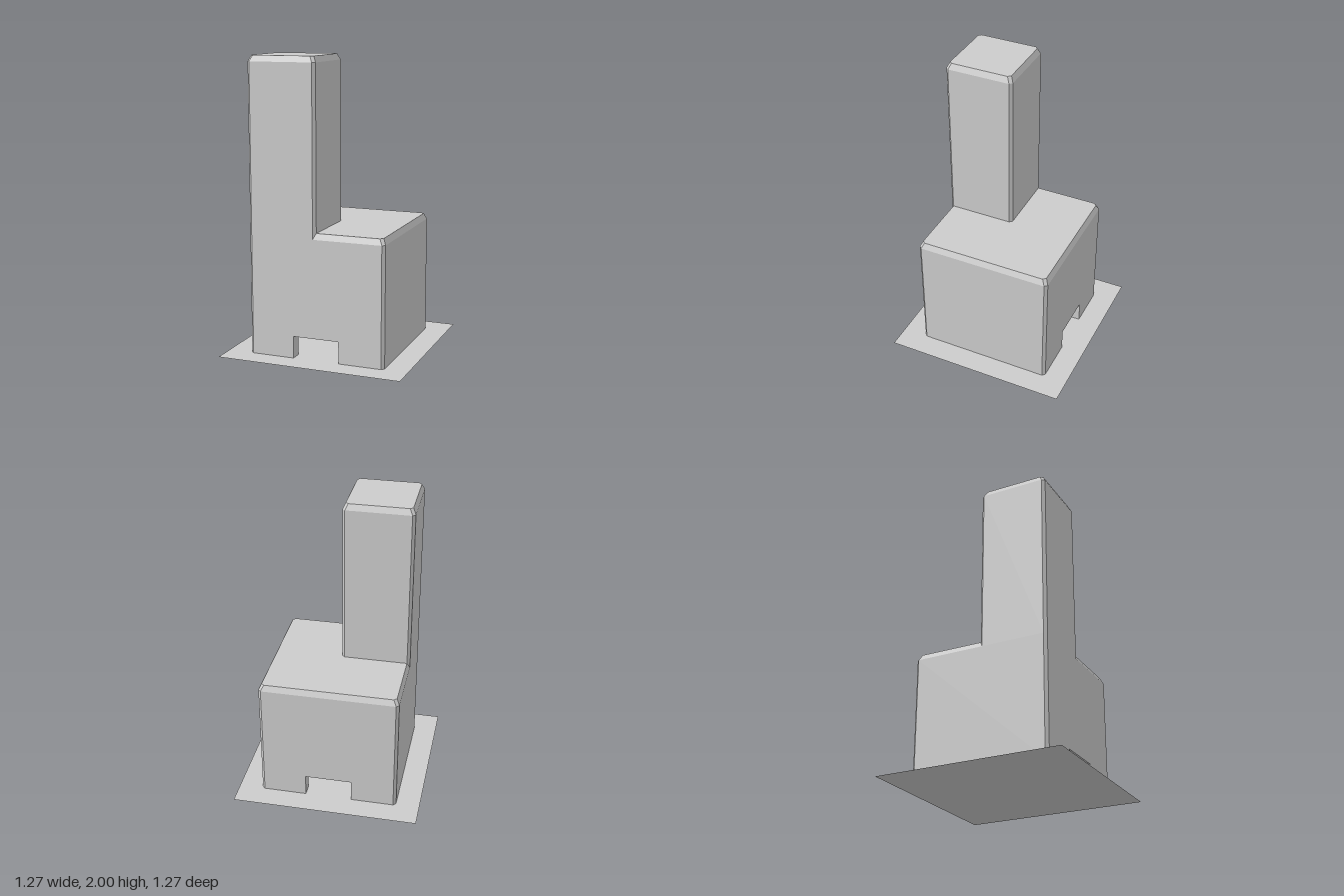
import * as THREE from 'three';
import { ConvexGeometry } from 'three/addons/geometries/ConvexGeometry.js';

const H = 0.475;       // half width of the base
const BEVEL = 0.019;   // horizontal bevel
const RISE = 0.04;     // height of the top bevel
const WALL = 0.08;     // wall thickness
const EAVE = 0.82;     // top of the walls, where the bevel starts
const material = new THREE.MeshStandardMaterial({ color: 0xcccccc, flatShading: true });
const thin = new THREE.MeshStandardMaterial({ color: 0xcccccc, side: THREE.DoubleSide });

function add(parent, name, geometry, mat = material) {
  const mesh = new THREE.Mesh(geometry, mat);
  mesh.name = name;
  parent.add(mesh);
  return mesh;
}

const shapeOf = (points) => new THREE.Shape(points.map(([x, y]) => new THREE.Vector2(x, y)));

// Octagonal ring: a rectangle with its four corners cut off
function ring(x0, x1, z0, z1, y) {
  const points = [];
  for (const [x, sx] of [[x0, 1], [x1, -1]]) {
    for (const [z, sz] of [[z0, 1], [z1, -1]]) {
      points.push(new THREE.Vector3(x + sx * BEVEL, y, z), new THREE.Vector3(x, y, z + sz * BEVEL));
    }
  }
  return points;
}

// Block with bevelled upright and top edges
function bevelledBlock(x0, x1, z0, z1, y0, y1) {
  const points = [
    ...ring(x0, x1, z0, z1, y1 - RISE),
    ...ring(x0 + BEVEL, x1 - BEVEL, z0 + BEVEL, z1 - BEVEL, y1),
  ];
  if (y0 < y1 - RISE) points.push(...ring(x0, x1, z0, z1, y0));
  return new ConvexGeometry(points);
}

export function createModel() {
  const model = new THREE.Group();
  model.name = 'towerBuilding';

  // Thin ground sheet
  const ground = new THREE.PlaneGeometry(1.274, 1.274).rotateX(-Math.PI / 2);
  add(model, 'groundSheet', ground, thin);

  // End walls with a doorway
  const c = H - BEVEL;
  const inner = H - WALL;
  const doorWall = new THREE.ExtrudeGeometry(shapeOf([
    [-c, 0], [-0.16, 0], [-0.16, 0.15], [0.16, 0.15], [0.16, 0], [c, 0], [c, EAVE], [-c, EAVE],
  ]), { depth: WALL, bevelEnabled: false }).translate(0, 0, inner);

  // Side walls, drawn in plan with their bevelled corners
  const sideWall = new THREE.ExtrudeGeometry(shapeOf([
    [c, -H], [H, -c], [H, c], [c, H], [c, inner], [inner, inner], [inner, -inner], [c, -inner],
  ]), { depth: EAVE, bevelEnabled: false }).rotateX(-Math.PI / 2);

  add(model, 'frontWall', doorWall);
  add(model, 'backWall', doorWall).rotation.y = Math.PI;
  add(model, 'leftWall', sideWall);
  add(model, 'rightWall', sideWall).rotation.y = Math.PI;

  // Flat roof and corner tower
  add(model, 'roof', bevelledBlock(-H, H, -H, H, EAVE, EAVE + RISE));
  add(model, 'tower', bevelledBlock(-H, 0, 0, H, EAVE, 2));

  return model;
}
